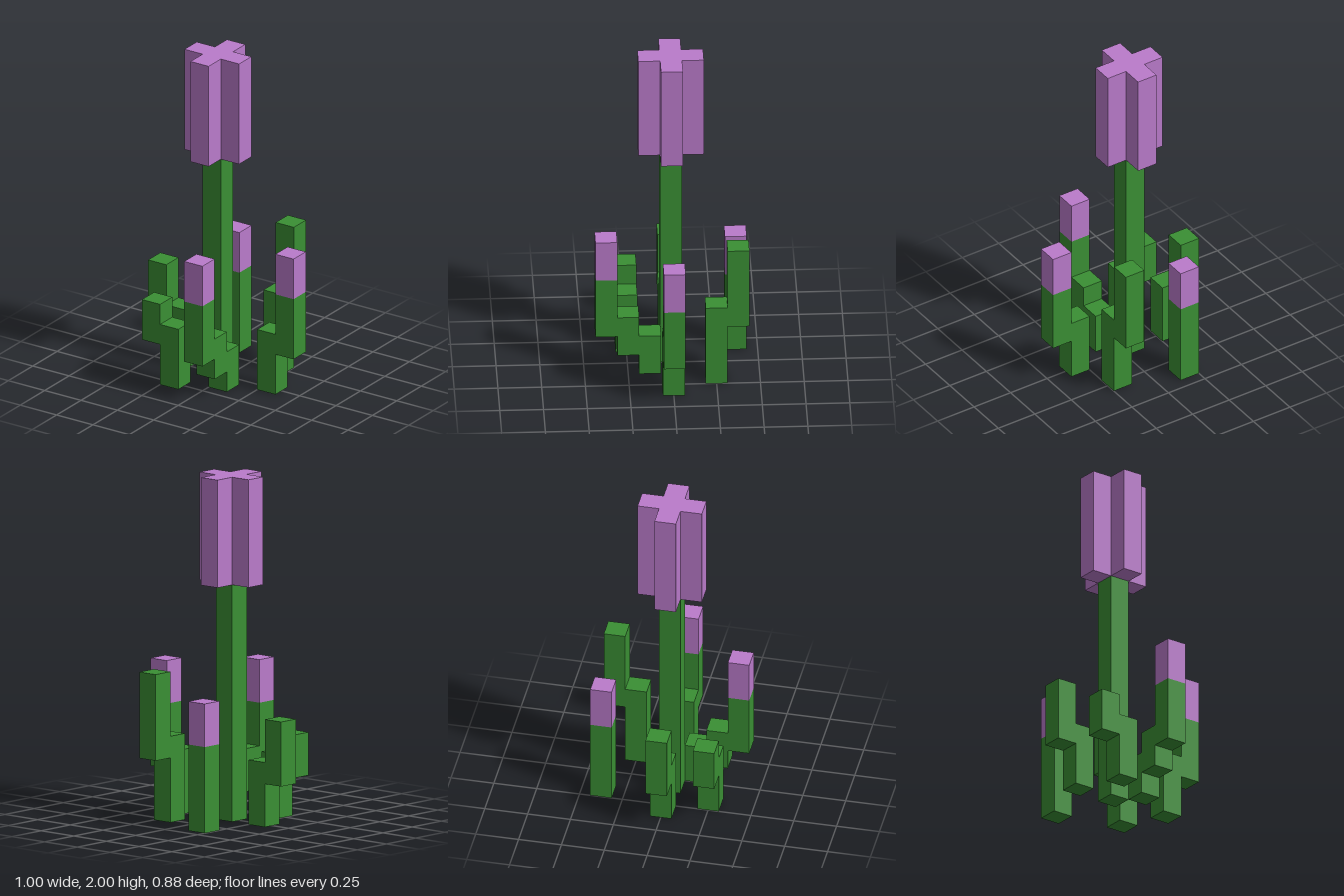
import * as THREE from 'three';

const U = 0.125; // edge of one block

export function createModel() {
  const green = new THREE.MeshStandardMaterial({ color: 0x3a8f34 });
  green.name = 'stem green';
  const purple = new THREE.MeshStandardMaterial({ color: 0xba7bcb });
  purple.name = 'petal purple';

  const model = new THREE.Group();
  model.name = 'blockFlower';

  // square upright column, one block wide, centred on (x, z) in block units
  function column(parent, name, material, x, z, y0, y1) {
    const mesh = new THREE.Mesh(new THREE.BoxGeometry(U, (y1 - y0) * U, U), material);
    mesh.position.set(x * U, ((y0 + y1) / 2) * U, z * U);
    mesh.name = name;
    parent.add(mesh);
  }

  // main stem
  column(model, 'mainStem', green, -0.5, 0, 0, 11);

  // cross-shaped blossom on the stem
  const a = U / 2, b = U * 1.5;
  const cross = new THREE.Shape([
    [a, -b], [a, -a], [b, -a], [b, a], [a, a], [a, b],
    [-a, b], [-a, a], [-b, a], [-b, -a], [-a, -a], [-a, -b],
  ].map(([x, y]) => new THREE.Vector2(x, y)));
  const blossomGeometry = new THREE.ExtrudeGeometry(cross, { depth: 5 * U, bevelEnabled: false });
  blossomGeometry.rotateX(-Math.PI / 2);
  const blossom = new THREE.Mesh(blossomGeometry, purple);
  blossom.position.set(-0.5 * U, 11 * U, 0);
  blossom.name = 'blossom';
  model.add(blossom);

  // stepped side shoots: segments are [x, z, bottom, top], bud is the purple tip
  const shoots = [
    { name: 'leftShoot', segments: [[2.5, 0, 0, 3], [3.5, 0, 2, 5]], bud: [3.5, 0, 5, 7] },
    { name: 'rightShoot', segments: [[-2.5, 0, 0, 3], [-3.5, 0, 2, 5]] },
    { name: 'frontShoot', segments: [[0.5, 1, 0, 2], [0.5, 2, 1, 3], [0.5, 3, 2, 5]], bud: [0.5, 3, 5, 7] },
    { name: 'frontRightShoot', segments: [[-1.5, 2, 0, 3], [-2.5, 2, 2, 4]] },
    { name: 'backLeftShoot', segments: [[1.5, -2, 0, 4], [1.5, -3, 3, 7]] },
    { name: 'backRightShoot', segments: [[-1.5, -3, 0, 4]], bud: [-1.5, -3, 4, 6] },
  ];
  for (const { name, segments, bud } of shoots) {
    const shoot = new THREE.Group();
    shoot.name = name;
    segments.forEach((s, i) => column(shoot, `stemSegment${i + 1}`, green, ...s));
    if (bud) column(shoot, 'bud', purple, ...bud);
    model.add(shoot);
  }
  return model;
}
